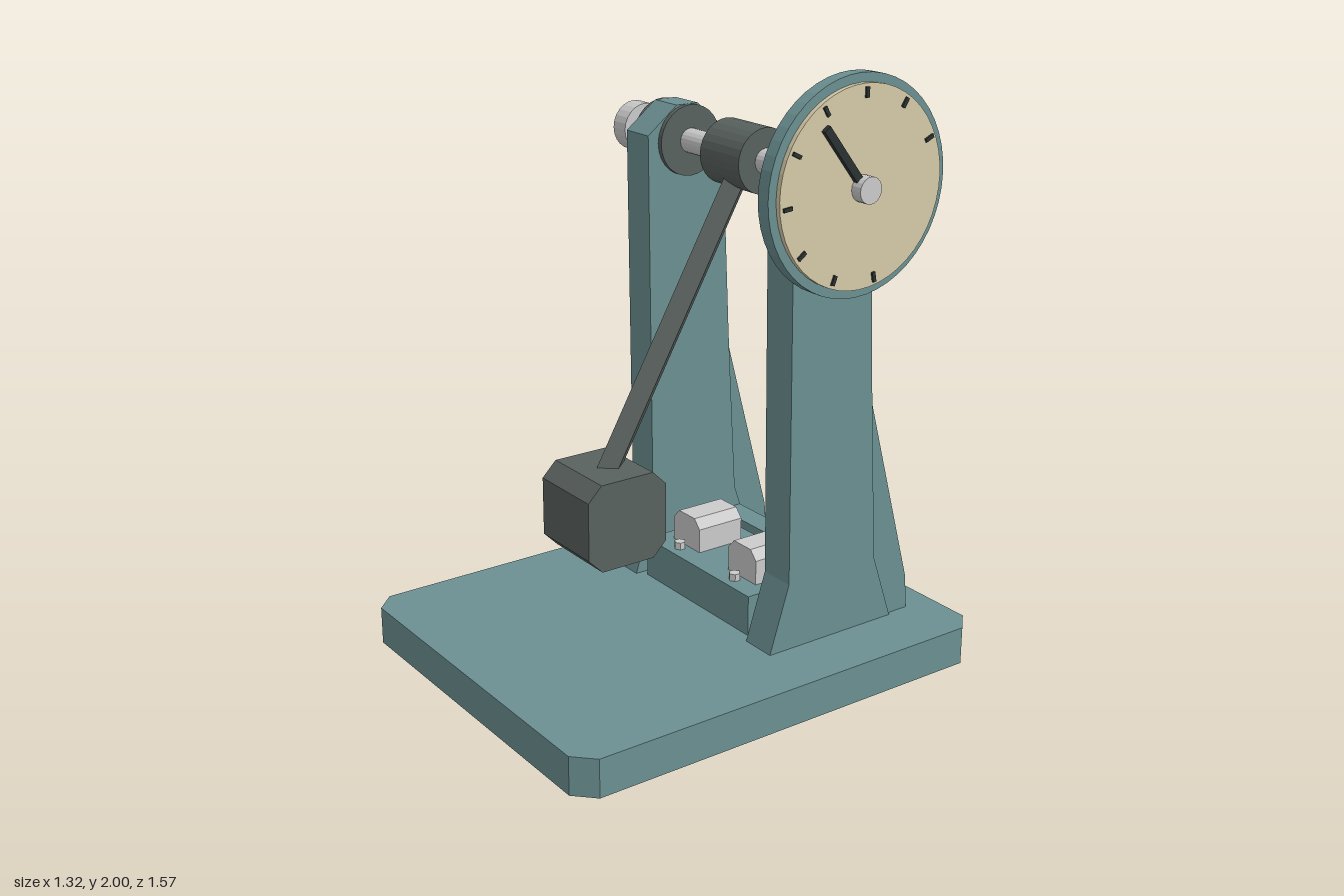
import * as THREE from 'three';

const mat = (color) => new THREE.MeshStandardMaterial({ color, flatShading: true });
const AXLE_Y = 1.66, AXLE_Z = -0.295;

export function createModel() {
  const model = new THREE.Group();
  const teal = mat(0x6c9092), dark = mat(0x59625f), steel = mat(0xbfc3c2);
  const cream = mat(0xd6caa8), black = mat(0x2b3131);

  const add = (name, geometry, material, parent = model) => {
    const mesh = new THREE.Mesh(geometry, material);
    mesh.name = name;
    parent.add(mesh);
    return mesh;
  };
  // Box given by its limits on each axis
  const box = (name, material, x0, x1, y0, y1, z0, z1, parent) => {
    const g = new THREE.BoxGeometry(x1 - x0, y1 - y0, z1 - z0);
    g.translate((x0 + x1) / 2, (y0 + y1) / 2, (z0 + z1) / 2);
    return add(name, g, material, parent);
  };
  const extrude = (points, depth) => {
    const shape = new THREE.Shape(points.map(([x, y]) => new THREE.Vector2(x, y)));
    return new THREE.ExtrudeGeometry(shape, { depth, bevelEnabled: false }).translate(0, 0, -depth / 2);
  };
  // Side profile of [z, y] points, given a width along x
  const sideProfile = (points, width, x = 0) =>
    extrude(points, width).rotateY(-Math.PI / 2).translate(x, 0, 0);
  // Rectangle with four cut corners
  const cutRect = (w, h, c) => [
    [-w + c, -h], [w - c, -h], [w, -h + c], [w, h - c],
    [w - c, h], [-w + c, h], [-w, h - c], [-w, -h + c],
  ];
  // Cylinder along the axle
  const disc = (name, material, x0, x1, r, sides = 28) => {
    const g = new THREE.CylinderGeometry(r, r, x1 - x0, sides).rotateZ(-Math.PI / 2);
    g.translate((x0 + x1) / 2, AXLE_Y, AXLE_Z);
    return add(name, g, material);
  };
  // Group turned about the axle; its local +y points at the clock angle seen from +x
  const spoke = (name, degrees) => {
    const group = new THREE.Group();
    group.name = name;
    group.position.set(0, AXLE_Y, AXLE_Z);
    group.rotation.x = -THREE.MathUtils.degToRad(degrees);
    model.add(group);
    return group;
  };

  // Base plate
  add('basePlate', extrude(cutRect(0.658, 0.785, 0.065), 0.13)
    .rotateX(-Math.PI / 2).translate(0, 0.065, 0), teal);

  // Columns with rear ribs and bearing bosses
  const columnProfile = [
    [-0.077, 0.13], [-0.15, 0.36], [-0.135, 1.69], [-0.25, 1.78],
    [-0.335, 1.78], [-0.44, 1.69], [-0.475, 0.95], [-0.51, 0.36], [-0.588, 0.13],
  ];
  const ribProfile = [
    [-0.45, 0.13], [-0.45, 0.95], [-0.475, 0.95], [-0.635, 0.36], [-0.665, 0.25], [-0.675, 0.13],
  ];
  for (const s of [-1, 1]) {
    const side = s > 0 ? 'left' : 'right';
    add(side + 'Column', sideProfile(columnProfile, 0.125, s * 0.38), teal);
    add(side + 'ColumnRib', sideProfile(ribProfile, 0.095, s * 0.383), teal);
    disc(side + 'Bearing', dark, s * 0.38 - 0.08, s * 0.38 + 0.08, 0.12);
  }

  // Anvil bed, cross bar and rear housing
  box('anvilBed', teal, -0.29, 0.29, 0.13, 0.27, -0.43, -0.105);
  box('crossBar', teal, -0.325, 0.325, 0.18, 0.285, -0.535, -0.45);
  box('rearHousing', teal, -0.105, 0.105, 0.13, 0.345, -0.715, -0.59);
  box('rearHousingPad', dark, -0.085, 0.085, 0.22, 0.355, -0.615, -0.56);

  // Anvils with hex bolts
  const anvilProfile = [
    [-0.075, 0.265], [0.075, 0.265], [0.075, 0.355], [0.045, 0.387], [-0.045, 0.387], [-0.075, 0.355],
  ];
  for (const s of [-1, 1]) {
    add('anvil', extrude(anvilProfile, 0.18).translate(s * 0.157, 0, -0.27), steel);
    add('anvilBolt', new THREE.CylinderGeometry(0.02, 0.02, 0.03, 6)
      .translate(s * 0.156, 0.28, -0.15), steel);
  }

  // Axle and pendulum hub
  disc('axle', steel, -0.6, 0.605, 0.042, 20);
  disc('pendulumHub', dark, -0.102, 0.102, 0.108);

  // Pendulum: diamond-section arm, hammer and striker
  const pendulum = spoke('pendulumArmPivot', 180 + 29.5);
  add('pendulumArm', new THREE.CylinderGeometry(0.046, 0.046, 1.1, 4)
    .translate(0, 0.63, 0), dark, pendulum);
  add('hammer', sideProfile(cutRect(0.148, 0.148, 0.05), 0.27)
    .translate(0, 0.572, 0.262), dark);
  box('striker', steel, -0.035, 0.035, 0.46, 0.58, 0.067, 0.14);

  // Dial with scale ticks and pointer
  disc('dialRim', teal, 0.5, 0.548, 0.342, 48);
  disc('dialFace', cream, 0.54, 0.565, 0.313, 48);
  for (let i = 0; i < 9; i++) {
    box('tick', black, 0.56, 0.572, 0.27, 0.302, -0.006, 0.006, spoke('tickPivot', -191 + 32 * i));
  }
  box('pointer', black, 0.566, 0.582, 0, 0.25, -0.013, 0.013, spoke('pointerPivot', -38));

  // Crank with grip
  disc('crankHub', steel, -0.635, -0.565, 0.085, 24);
  const crank = spoke('crankPivot', 140);
  add('crankArm', new THREE.CylinderGeometry(0.019, 0.019, 0.24, 12)
    .translate(-0.611, 0.17, 0), dark, crank);
  const grip = [[0, 0.25], [0.024, 0.25], [0.03, 0.265], [0.03, 0.365], [0.022, 0.383], [0, 0.383]];
  add('crankGrip', new THREE.LatheGeometry(grip.map(([r, y]) => new THREE.Vector2(r, y)), 14)
    .translate(-0.611, 0, 0), cream, crank);

  return model;
}
